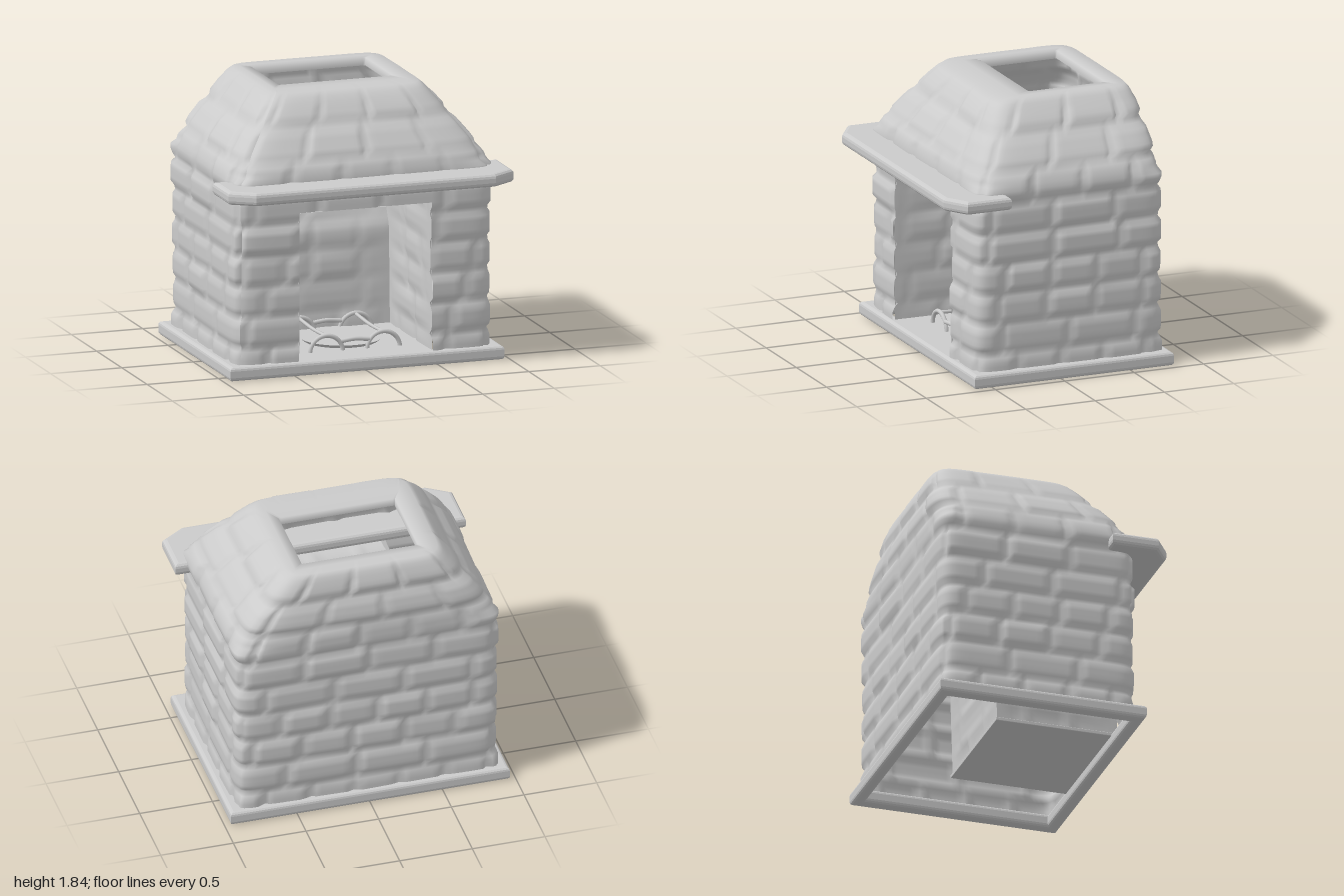
import * as THREE from 'three';

const { lerp, clamp, smoothstep } = THREE.MathUtils;
const grey = new THREE.MeshStandardMaterial({ color: 0xcccccc, side: THREE.DoubleSide });

// Seeded value in 0..1 for a pair of cell numbers
const hash = (a, b) => {
  const n = Math.sin(a * 127.1 + b * 311.7 + 5.3) * 43758.5453;
  return n - Math.floor(n);
};

// Height of rough masonry: staggered rounded blocks with shallow joints
function stone(u, y) {
  const rowH = 0.205, row = Math.floor(y / rowH);
  const width = 0.3 + 0.2 * hash(row, 3);
  const c = u / width + hash(row, 8), col = Math.floor(c);
  const fy = y / rowH - row, fx = c - col;
  const edge = Math.min(Math.min(fy, 1 - fy) * rowH, Math.min(fx, 1 - fx) * width);
  const lean = (fx - 0.5) * (hash(col, row + 40) - 0.5) * 0.02;
  return smoothstep(edge, 0, 0.045) * (0.014 + 0.016 * hash(col, row)) + lean - 0.012;
}

// Surface from a rule giving a point for each column and row
function grid(cols, rows, point, skip = () => false) {
  const pos = [], index = [];
  for (let j = 0; j < rows; j++) for (let i = 0; i < cols; i++) pos.push(...point(i, j));
  for (let j = 0; j < rows - 1; j++) for (let i = 0; i < cols - 1; i++) {
    if (skip(i, j)) continue;
    const a = j * cols + i, d = a + cols;
    index.push(a, a + 1, d + 1, a, d + 1, d);
  }
  const g = new THREE.BufferGeometry();
  g.setAttribute('position', new THREE.Float32BufferAttribute(pos, 3));
  g.setIndex(index);
  g.computeVertexNormals();
  return g;
}

// Evenly divided list through the given stops
function divide(stops, step) {
  const out = [stops[0]];
  for (let k = 1; k < stops.length; k++) {
    const n = Math.max(1, Math.round(Math.abs(stops[k] - stops[k - 1]) / step));
    for (let i = 1; i <= n; i++) out.push(lerp(stops[k - 1], stops[k], i / n));
  }
  return out;
}

// Linear lookup in rows of [key, value, value...]
function lookup(table, key) {
  let k = 1;
  while (k < table.length - 1 && table[k][0] < key) k++;
  const a = table[k - 1], b = table[k];
  const t = clamp((key - a[0]) / (b[0] - a[0]), 0, 1);
  return a.map((v, i) => lerp(v, b[i], t));
}

// Outer masonry shell with the hood, the fire opening and the flue hole
function shellGeometry() {
  // height, half width, front z, back z
  const profile = [
    [0.04, 0.9, 0.585, -0.765], [1.32, 0.9, 0.585, -0.765], [1.42, 0.865, 0.56, -0.765],
    [1.5, 0.81, 0.5, -0.765], [1.65, 0.69, 0.4, -0.735], [1.79, 0.575, 0.3, -0.705], [1.835, 0.535, 0.25, -0.685],
  ];
  const open = 0.512;
  const ring = [];
  divide([-1, -open, open, 1], 0.04).forEach(s => ring.push([s, 1]));
  divide([1, -1], 0.045).slice(1).forEach(t => ring.push([1, t]));
  divide([1, -1], 0.04).slice(1).forEach(s => ring.push([s, -1]));
  divide([-1, 1], 0.045).slice(1).forEach(t => ring.push([-1, t]));
  const rows = divide([0.04, 0.09, 1.1, 1.32, 1.835], 0.03).map(y => ({ p: lookup(profile, y), rough: 1 }));
  // flat top inwards to the flue, then a short lip
  rows.push({ p: [1.835, 0.46, 0.1, -0.61], rough: 0 });
  rows.push({ p: [1.835, 0.4, 0, -0.55], rough: 0 }, { p: [1.78, 0.4, 0, -0.55], rough: 0 });

  const point = (i, j) => {
    const [s, t] = ring[i], { p: [y, hx, zf, zb], rough } = rows[j];
    const along = Math.abs(t) === 1 ? s * 0.9 * t + (t < 0 ? 5 : 0) : -t * 0.675 * s + (s > 0 ? 1.575 : 6.575);
    const n = y > 1.35 ? 9 : 16;
    const k = rough ? Math.pow(Math.abs(s) ** n + Math.abs(t) ** n, -1 / n) : 1;
    const d = rough * stone(along, y) * (y > 1.75 ? 0.5 : 1);
    return [s * k * (hx + d), y, (zf + zb) / 2 + t * k * ((zf - zb) / 2 + d)];
  };
  const skip = (i, j) => {
    const [s, t] = ring[i], [s2, t2] = ring[i + 1], y = rows[j].p[0];
    return t === 1 && t2 === 1 && s > -open - 1e-4 && s2 < open + 1e-4 && y > 0.085 && y < 1.095;
  };
  return grid(ring.length, rows.length, point, skip);
}

// Horizontal slab from an outline in x and z, bevelled all round
function slab(points, bottom, top, bevel, hole) {
  const toPath = list => list.map(([x, z]) => new THREE.Vector2(x, z));
  const shape = new THREE.Shape(toPath(points));
  if (hole) shape.holes.push(new THREE.Path(toPath(hole)));
  const g = new THREE.ExtrudeGeometry(shape, {
    depth: top - bottom - 2 * bevel, bevelSize: bevel, bevelOffset: -bevel, bevelThickness: bevel, bevelSegments: 3,
  });
  return g.rotateX(Math.PI / 2).translate(0, top - bevel, 0);
}

const rect = (x, z0, z1) => [[-x, z0], [x, z0], [x, z1], [-x, z1]];

export function createModel() {
  const model = new THREE.Group();
  model.name = 'fireplace';
  const add = (name, geometry, parent = model) => {
    const m = new THREE.Mesh(geometry, grey);
    m.name = name;
    parent.add(m);
    return m;
  };

  add('stoneShell', shellGeometry());
  add('plinth', slab(rect(0.96, -0.805, 0.63), 0, 0.095, 0.025, rect(0.86, -0.72, 0.54)));
  add('mantelShelf', slab(
    [[-1, 0.38], [-1, 0.7], [-0.84, 0.805], [0.84, 0.805], [1, 0.7], [1, 0.38]], 1.22, 1.31, 0.03));

  // Firebox: floor, two side walls, back wall leaning into the flue, lintel
  const firebox = new THREE.Group();
  firebox.name = 'firebox';
  model.add(firebox);
  const back = [[0.08, -0.25], [0.75, -0.27], [0.95, -0.36], [1.18, -0.43]];
  const backZ = y => lookup(back, y)[1];
  const height = j => lerp(0.08, 1.18, j / 32);
  add('hearthFloor', slab(rect(0.48, -0.26, 0.6), 0.07, 0.095, 0.004), firebox);
  for (const side of [1, -1]) {
    add(side > 0 ? 'leftFireboxWall' : 'rightFireboxWall', grid(25, 33, (i, j) => {
      const y = height(j), u = i / 24;
      const z = lerp(0.585, backZ(y), u);
      return [side * (0.468 - 0.8 * stone(z + 9 * side, y) * Math.sin(Math.PI * u)), y, z];
    }), firebox);
  }
  add('fireboxBack', grid(27, 33, (i, j) => {
    const y = height(j), x = lerp(-0.468, 0.468, i / 26);
    return [x, y, backZ(y) + 0.7 * stone(x + 20, y) * Math.cos(x * 3.3)];
  }), firebox);
  add('lintel', grid(27, 13, (i, j) => {
    const x = lerp(-0.468, 0.468, i / 26), v = j / 12;
    return [x, 1.1 + 0.08 * v * v - 0.5 * stone(x + 30, 0.1) * Math.sin(Math.PI * v), lerp(0.59, 0.3, v)];
  }), firebox);

  // Fire grate: arched feet front and back joined by rods, with an ash pan
  const grate = new THREE.Group();
  grate.name = 'fireGrate';
  model.add(grate);
  const bar = (name, points, radius = 0.015) => add(name, new THREE.TubeGeometry(
    new THREE.CatmullRomCurve3(points.map(p => new THREE.Vector3(...p))), 24, radius, 8), grate);
  for (const z of [0.38, -0.17]) {
    for (const x of [-0.2, 0.2]) {
      const arch = add('archedFoot', new THREE.TorusGeometry(0.115, 0.015, 8, 24, Math.PI), grate);
      arch.position.set(x, 0.085, z);
    }
    bar('crossBar', [[-0.1, 0.155, z], [0, 0.165, z], [0.1, 0.155, z]]);
  }
  for (const x of [-0.2, 0.2]) bar('longRod', [[x, 0.195, 0.38], [x, 0.185, 0.1], [x, 0.195, -0.17]], 0.012);
  const pan = add('ashPan', new THREE.CylinderGeometry(0.28, 0.24, 0.03, 28), grate);
  pan.position.set(0, 0.105, 0.1);

  return model;
}
